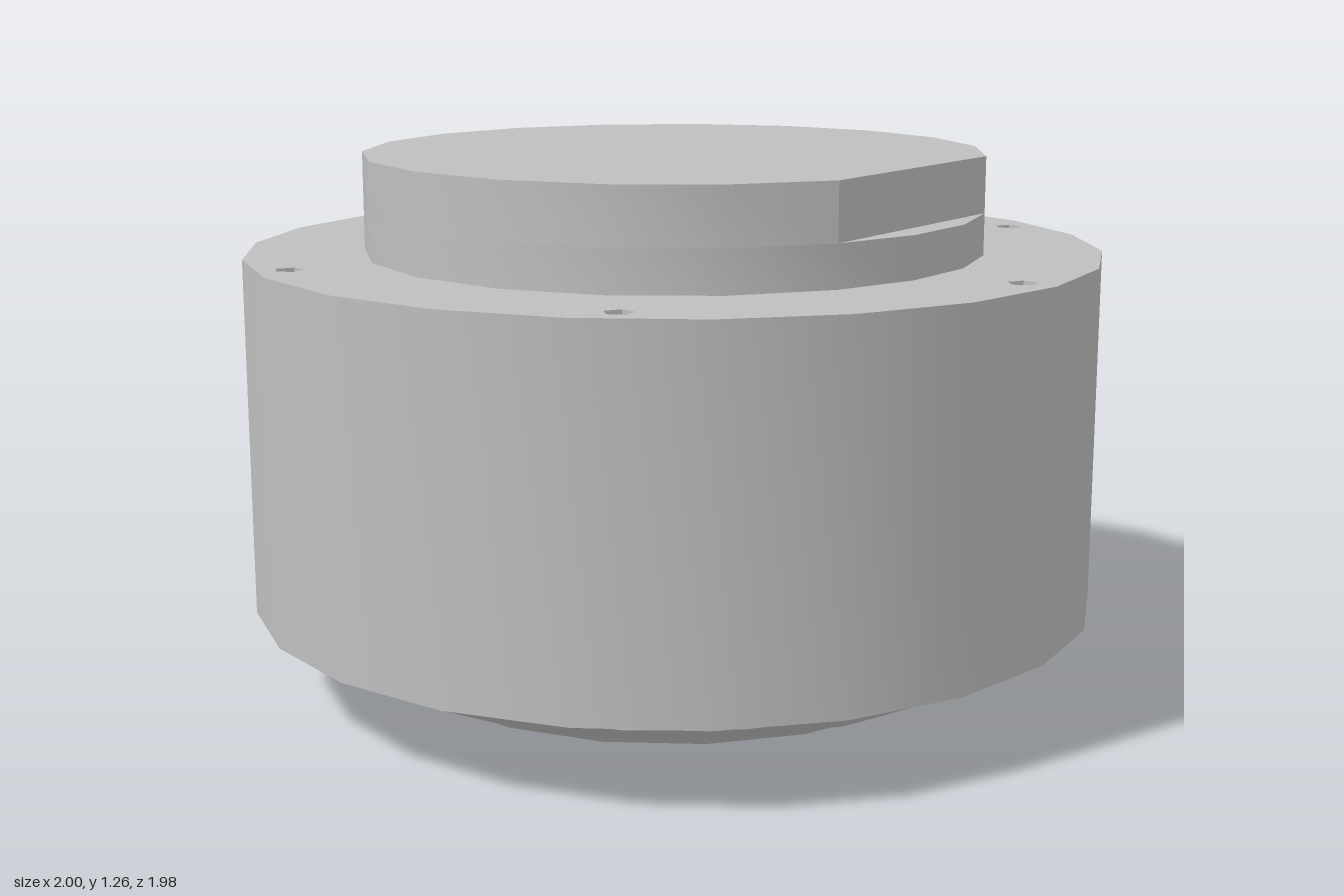
import * as THREE from 'three';
import { toCreasedNormals } from 'three/addons/utils/BufferGeometryUtils.js';

const TAU = Math.PI * 2;
const polar = (r, a, cx = 0, cy = 0) =>
  new THREE.Vector2(cx + r * Math.cos(a), cy + r * Math.sin(a));
const ngon = (r, n, start = 0, cx = 0, cy = 0) =>
  Array.from({ length: n }, (_, i) => polar(r, start + (i / n) * TAU, cx, cy));

export function createModel() {
  const model = new THREE.Group();
  model.name = 'motorHousing';
  const steel = new THREE.MeshStandardMaterial({ color: 0xbfbfbf });
  steel.name = 'grey metal';

  function add(name, geometry, parent = model) {
    const mesh = new THREE.Mesh(geometry, steel);
    mesh.name = name;
    parent.add(mesh);
    return mesh;
  }

  // Upright prism from a plan outline (x, z) between two heights
  function prism(outline, holes, y0, y1) {
    const shape = new THREE.Shape(outline);
    holes.forEach(h => shape.holes.push(new THREE.Path(h)));
    const g = new THREE.ExtrudeGeometry(shape, { depth: y1 - y0, bevelEnabled: false });
    g.rotateX(Math.PI / 2).translate(0, y1, 0);
    return toCreasedNormals(g, 0.6);
  }

  // Turned ring from [radius, height] pairs, with a corner on -x
  function turned(profile, sides) {
    const pts = profile.map(p => new THREE.Vector2(...p));
    return toCreasedNormals(new THREE.LatheGeometry(pts, sides, -Math.PI / 2), 0.6);
  }

  // Main drum with six bolt holes
  const boltSpots = Array.from({ length: 6 }, (_, i) => polar(0.92, (i * TAU) / 6));
  const boltHoles = boltSpots.map(p => ngon(0.034, 5, 0.5, p.x, p.y));
  add('drum', prism(ngon(1, 22), boltHoles, 0.2, 1.033));

  // Pointed floors closing the bolt holes from both ends
  const floors = new THREE.Group();
  floors.name = 'boltHoleFloors';
  model.add(floors);
  for (const p of boltSpots) {
    for (const [y, tip] of [[0.85, 0.83], [0.38, 0.4]]) {
      const cone = tip < y
        ? [[0, tip], [0.036, y]]
        : [[0.036, y], [0, tip]];
      // profile order turns the cone's inside toward the hole mouth
      const g = turned(cone.reverse(), 5);
      add('boltHoleFloor', g, floors).position.set(p.x, 0, p.y);
    }
  }

  // Round boss on top, with a flat cut on its left side
  const cut = Math.acos(0.655 / 0.725);
  const arc = Array.from({ length: 17 }, (_, i) =>
    polar(0.725, cut + (i / 16) * (TAU - 2 * cut)));
  const rim = [-cut / 3, cut / 3].map(a => polar(0.725, a));
  add('bossBase', prism([...arc, ...rim], [], 1.03, 1.13));
  add('bossTop', prism(arc, [], 1.13, 1.26));

  // Stepped flange underneath
  add('lowerFlange', turned([
    [0.5, 0.1], [0.79, 0.1], [0.84, 0.14], [0.84, 0.205],
  ], 21));
  add('taperedStep', turned([
    [0.5, 0.05], [0.68, 0.05], [0.735, 0.102],
  ], 19));
  add('hubCollar', turned([
    [0.39, 0.027], [0.535, 0.027], [0.535, 0.055],
  ], 16));

  // Hub with a central bore and a ring of screw and pin holes
  const hubHoles = [ngon(0.245, 16)];
  for (let k = 0; k < 12; k++) {
    if (k === 5 || k === 11) continue;
    const p = polar(0.325, (k * TAU) / 12);
    hubHoles.push(ngon(k % 6 === 3 ? 0.024 : 0.035, 7, 0, p.x, p.y));
  }
  add('hub', prism(ngon(0.41, 16), hubHoles, 0, 0.115));
  const floor = new THREE.CircleGeometry(0.41, 16);
  floor.rotateX(Math.PI / 2).translate(0, 0.114, 0);
  add('boreFloor', floor);

  return model;
}
